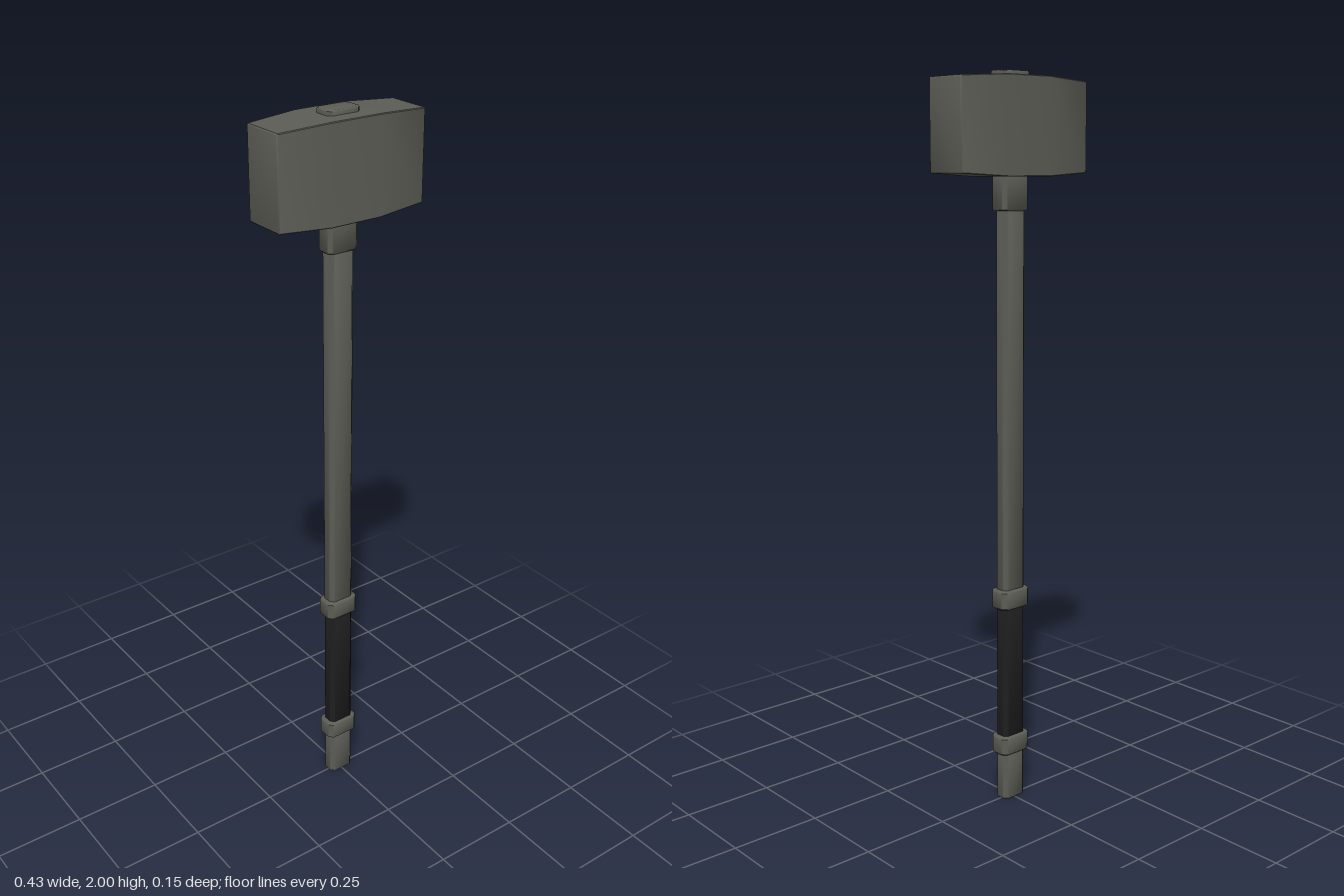
import * as THREE from 'three';
import { toCreasedNormals } from 'three/addons/utils/BufferGeometryUtils.js';

// Loft of chamfered rectangles stacked along y; each section is [y, halfWidth, halfDepth, chamfer]
function loft(sections, crease = 0.9) {
  const pos = [], index = [], n = 8;
  for (const [y, w, d, c] of sections) {
    const ring = [[w, -d + c], [w, d - c], [w - c, d], [-w + c, d],
      [-w, d - c], [-w, -d + c], [-w + c, -d], [w - c, -d]];
    for (const [x, z] of ring) pos.push(x, y, z);
  }
  for (let s = 0; s < sections.length - 1; s++) {
    for (let i = 0; i < n; i++) {
      const a = s * n + i, b = s * n + (i + 1) % n;
      index.push(a, a + n, b, b, a + n, b + n);
    }
  }
  // end caps
  const top = (sections.length - 1) * n;
  for (let i = 1; i < n - 1; i++) {
    index.push(0, i, i + 1);
    index.push(top, top + i + 1, top + i);
  }
  const g = new THREE.BufferGeometry();
  g.setAttribute('position', new THREE.Float32BufferAttribute(pos, 3));
  g.setIndex(index);
  return toCreasedNormals(g, crease);
}

// Straight piece with a small bevel at both ends
function bar(y0, y1, w, d, c, bevel) {
  return loft([
    [y0, w - bevel, d - bevel, c], [y0 + bevel, w, d, c],
    [y1 - bevel, w, d, c], [y1, w - bevel, d - bevel, c],
  ]);
}

export function createModel() {
  const group = new THREE.Group();
  const steel = new THREE.MeshStandardMaterial({ color: 0x5c5d55 });
  steel.name = 'grey steel';
  const rubber = new THREE.MeshStandardMaterial({ color: 0x1f1f1f });
  rubber.name = 'black grip';

  const add = (name, geometry, material) => {
    const mesh = new THREE.Mesh(geometry, material);
    mesh.name = name;
    group.add(mesh);
    return mesh;
  };

  // Shaft sections, bottom to top
  add('buttEnd', bar(0, 0.15, 0.038, 0.023, 0.011, 0.004), steel);
  add('grip', bar(0.14, 0.6, 0.038, 0.023, 0.011, 0.002), rubber);
  add('shaft', bar(0.59, 1.7, 0.038, 0.023, 0.011, 0.002), steel);

  // Bands at both ends of the grip
  for (const [name, y] of [['lowerBand', 0.137], ['upperBand', 0.565]]) {
    add(name, bar(y, y + 0.055, 0.049, 0.031, 0.012, 0.005), steel);
  }

  // Collar under the head and the shaft end above it
  add('collar', bar(1.647, 1.76, 0.045, 0.028, 0.01, 0.003), steel);
  add('shaftTip', bar(1.95, 2, 0.048, 0.03, 0.01, 0.003), steel);

  // Head, lofted along its length and laid on its side
  const head = loft([
    [-0.217, 0.115, 0.06, 0.002], [-0.214, 0.118, 0.063, 0.002],
    [-0.073, 0.126, 0.077, 0.002], [0.073, 0.126, 0.077, 0.002],
    [0.214, 0.118, 0.063, 0.002], [0.217, 0.115, 0.06, 0.002],
  ], 0.7);
  head.rotateZ(-Math.PI / 2);
  add('hammerHead', head, steel).position.y = 1.861;

  return group;
}
